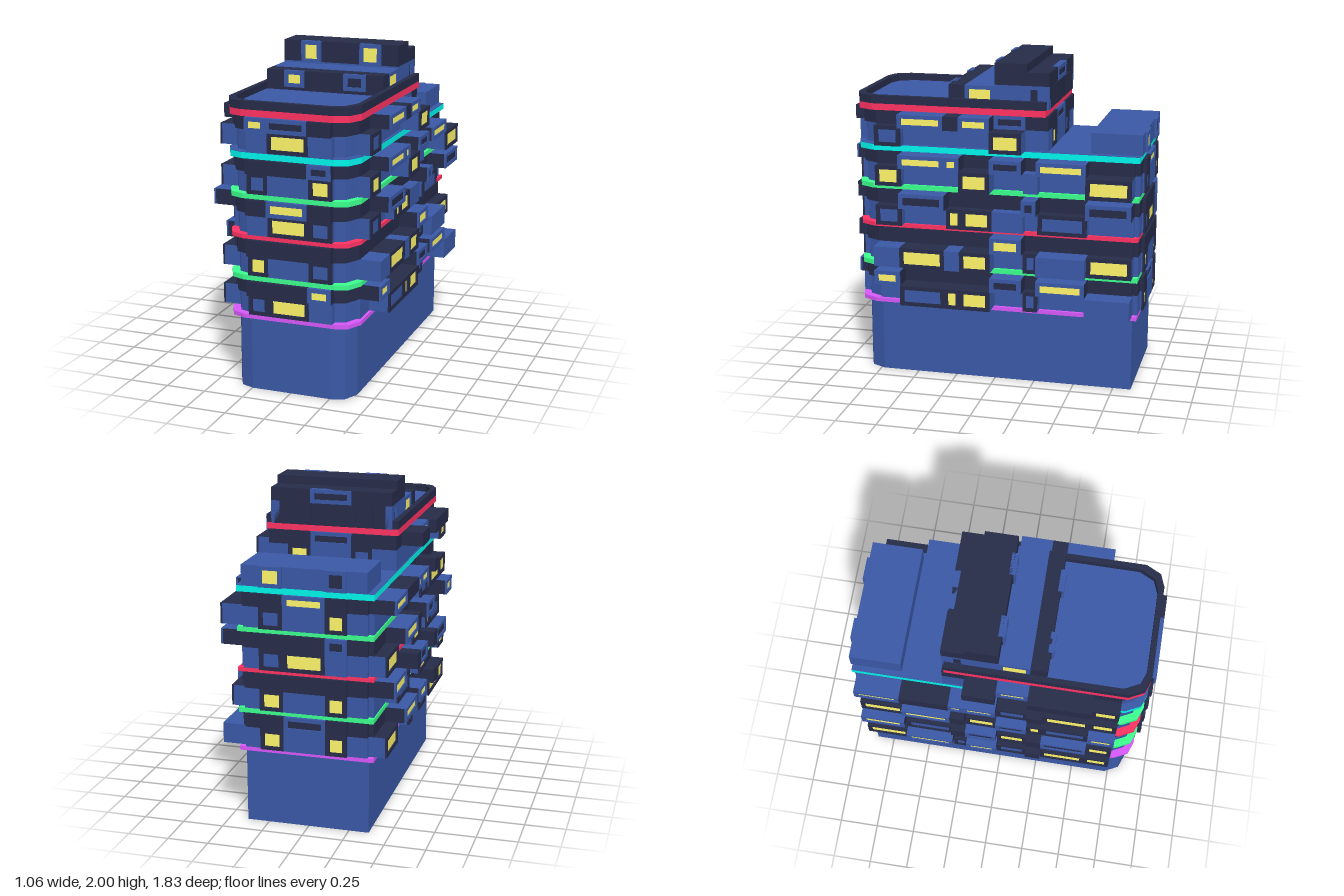
import * as THREE from 'three';

const mat = (color) => new THREE.MeshStandardMaterial({ color, flatShading: true });
const blue = mat(0x3a58a6), dark = mat(0x262b48), lit = mat(0xfff56a);
const red = mat(0xff3262), green = mat(0x3bff8e), cyan = mat(0x00f5ec), purple = mat(0xd858fa);
const CX = 0.006;

// Plan outline: square back, faceted front corners
function outline(grow, back) {
  const w = 0.378 + grow, f = 0.85 + grow;
  const half = [[w, f - 0.12], [w - 0.045, f - 0.03], [w - 0.125, f]];
  const pts = [[w, back], ...half, ...half.map(([x, z]) => [-x, z]).reverse(), [-w, back]];
  return pts.map(([x, z]) => new THREE.Vector2(x + CX, -z));
}

function slab(parent, name, material, grow, back, y0, y1, hole) {
  const shape = new THREE.Shape(outline(grow, back));
  if (hole) shape.holes.push(new THREE.Path(hole));
  const geo = new THREE.ExtrudeGeometry(shape, { depth: y1 - y0, bevelEnabled: false });
  const mesh = new THREE.Mesh(geo.rotateX(-Math.PI / 2).translate(0, y0, 0), material);
  mesh.name = name;
  parent.add(mesh);
}

function box(parent, name, material, x0, x1, y0, y1, z0, z1) {
  const mesh = new THREE.Mesh(new THREE.BoxGeometry(x1 - x0, y1 - y0, z1 - z0), material);
  mesh.position.set((x0 + x1) / 2, (y0 + y1) / 2, (z0 + z1) / 2);
  mesh.name = name;
  parent.add(mesh);
}

function rect(Type, x0, x1, y0, y1) {
  return new Type([[x0, y0], [x1, y0], [x1, y1], [x0, y1]].map(([x, y]) => new THREE.Vector2(x, y)));
}

// Projecting box whose outer face (local +z) has an inset window; its cheeks may differ in colour
function windowBox(parent, frame, cheek, pane, x0, x1, y0, y1, z0, z1) {
  const m = Math.min(0.026, (x1 - x0) * 0.24), n = 0.023, inset = 0.012;
  box(parent, 'windowBoxBody', [cheek, cheek, frame, cheek, frame, frame], x0, x1, y0, y1, z0, z1 - inset);
  const shape = rect(THREE.Shape, x0, x1, y0, y1);
  shape.holes.push(rect(THREE.Path, x0 + m, x1 - m, y0 + n, y1 - n));
  const rim = new THREE.Mesh(new THREE.ExtrudeGeometry(shape, { depth: inset, bevelEnabled: false }), frame);
  rim.position.z = z1 - inset;
  rim.name = 'windowFrame';
  parent.add(rim);
  box(parent, 'windowPane', pane, x0 + m, x1 - m, y0 + n, y1 - n, z1 - inset - 0.01, z1 - inset + 0.004);
}

// One row of cells: y = lit window, o = unlit window, . = plain
function row(parent, cells, pattern, upper, y0, y1, inner, depthOf) {
  const base = upper ? dark : blue, frame = upper ? blue : dark;
  [...pattern].forEach((c, i) => {
    const [a, b] = cells[i], d = depthOf(i);
    if (c === '.') box(parent, 'plainBay', base, a, b, y0, y1, inner, d);
    else windowBox(parent, frame, base, c === 'y' ? lit : base, a, b, y0, y1, inner, d);
  });
}

const spans = (edges) => edges.slice(1).map((e, i) => [edges[i], e]);
const LEVELS = [0.485, 0.73, 0.98, 1.23, 1.48];
const TOPS = [0.7, 0.955, 1.2, 1.44, 1.69];

// Cell edges along each face, and window patterns as [lower, upper] per storey
const sideEdges = [-0.735, -0.57, -0.285, -0.19, 0, 0.195, 0.285, 0.585, 0.86];
const faceEdges = [-0.25, -0.12, 0.135, 0.28];
const backEdges = [-0.38, -0.28, -0.135, 0.12, 0.25, 0.37];
const leftRows = [
  ['.oyy.o..', 'y...o.y.'], ['.y.y.o.y', '....y...'], ['o.yy..o.', '.o...o.o'],
  ['y..y...y', '.yy.o.y.'], ['o...y.', '.y.yo.']];
const rightRows = [
  ['yy.o.o.y', '....y.y.'], ['y..y..o.', '.o..o..y'], ['.oy.y..y', 'y..o..y.'],
  ['yy.o....', '....yy.y'], ['y.....', '...y..']];
const frontRows = [['oy.', '..y'], ['y.o', '...'], ['.yo', '.y.'], ['o.y', '..o'], ['.y.', 'yo.']];
const backRows = [
  ['.y.y.', '..o..'], ['.y.y.', '.....'], ['.oy..', '...o.'], ['.o.y.', '..y..']];

// Side bays: windowed cells stand out, the plain one above or below steps back
const STEP = 0.4;
function leftDepth(s, i, upper) {
  const [lo, up] = leftRows[s].map((r) => r[i]);
  const plain = lo === '.' && up === '.';
  if (s === 4 && i === 5) return STEP;
  if (upper) {
    if (up === '.') return plain && s === 4 ? 0.53 : STEP;
    return s === 4 && i === 4 ? 0.41 : 0.53;
  }
  if (lo === '.' && !(plain && s < 4)) return STEP;
  return s === 2 || (s > 2 && i === 0) || (s === 1 && i === 7) || i === 5 ? 0.47 : 0.53;
}
function rightDepth(s, i, upper) {
  const [lo, up] = rightRows[s].map((r) => r[i]);
  if (s === 4 && i === 5) return STEP;
  if (!upper) return lo === '.' ? STEP : 0.48;
  if (up === '.') return lo === '.' ? 0.53 : STEP;
  return s === 4 ? 0.48 : 0.53;
}

export function createModel() {
  const model = new THREE.Group();
  model.name = 'apartmentBuilding';

  // Plinth and coloured floor bands
  slab(model, 'plinth', blue, 0, -0.86, 0, 0.46);
  const bands = [[purple, 0.46, 0.485], [green, 0.7, 0.73], [red, 0.955, 0.98],
    [green, 1.2, 1.23], [cyan, 1.44, 1.477], [red, 1.69, 1.73]];
  bands.forEach(([m, a, b], i) => slab(model, 'floorBand', m, 0.034, i === 5 ? -0.32 : -0.89, a, b));
  slab(model, 'terraceDeck', blue, 0.034, -0.89, 1.477, 1.48);

  // Faces are groups whose local +z points outward
  const face = (name, angle) => {
    const g = new THREE.Group();
    g.name = name;
    g.rotation.y = angle;
    model.add(g);
    return g;
  };
  const front = face('frontBays', 0), back = face('backBays', Math.PI);
  const left = face('leftBays', Math.PI / 2), right = face('rightBays', -Math.PI / 2);

  LEVELS.forEach((y0, s) => {
    const ym = y0 + 0.125, y1 = TOPS[s], end = s === 4 ? -0.31 : -0.86;
    slab(model, 'storeyWall', blue, 0, end, y0, ym);
    slab(model, 'storeyParapet', dark, 0.012, end, ym, y1);

    const edges = s === 4 ? [...sideEdges.slice(0, 6), 0.335] : sideEdges;
    const leftCells = spans(edges), rightCells = leftCells.map(([a, b]) => [-b, -a]);
    [false, true].forEach((upper) => {
      const k = upper ? 1 : 0, a = upper ? ym : y0, b = upper ? y1 : ym;
      row(left, leftCells, leftRows[s][k], upper, a, b, 0.36, (i) => leftDepth(s, i, upper));
      row(right, rightCells, rightRows[s][k], upper, a, b, 0.35, (i) => rightDepth(s, i, upper));
      row(front, spans(faceEdges), frontRows[s][k], upper, a, b, 0.8, () => upper ? 0.912 : 0.885);
      if (s < 4) row(back, spans(backEdges), backRows[s][k], upper, a, b, 0.84, (i) => i % 4 ? 0.912 : 0.89);
    });
  });

  // Rear terrace block on the lower roof
  box(model, 'terraceBlock', blue, -0.37, 0.384, 1.48, 1.605, -0.9, -0.59);
  windowBox(back, blue, blue, lit, -0.28, -0.135, 1.48, 1.605, 0.88, 0.915);
  windowBox(back, blue, blue, dark, 0.12, 0.25, 1.48, 1.605, 0.88, 0.915);
  // Rear wall of the top storey
  row(back, spans(backEdges), '.y.o.', false, 1.48, 1.605, 0.28, () => 0.335);
  row(back, spans(backEdges), '..o..', true, 1.605, 1.69, 0.28, () => 0.335);

  // Roof parapet around a sunken roof
  slab(model, 'roofParapet', dark, 0.034, -0.32, 1.73, 1.78, outline(0, -0.28).reverse());
  slab(model, 'roofDeck', blue, 0.005, -0.3, 1.73, 1.738);

  // Stepped penthouse
  const x0 = -0.37, x1 = 0.384, inset = 0.02;
  box(model, 'penthouseFront', dark, x0, x1, 1.73, 1.86, 0.185, 0.285);
  box(model, 'penthouseMiddle', blue, x0 + inset, x1 - inset, 1.73, 1.86, 0, 0.185);
  box(model, 'penthouseRear', blue, x0, x1, 1.73, 1.87, -0.2, 0);
  box(model, 'penthouseRearEnd', dark, x0 + inset, x1 - inset, 1.73, 1.87, -0.335, -0.2);
  box(model, 'penthouseCrown', dark, x0, x1, 1.87, 2, -0.2, 0);
  box(model, 'penthouseRearCrown', dark, x0, x1, 1.87, 1.95, -0.335, -0.2);

  // Penthouse windows
  [[-0.25, -0.12, lit], [0.135, 0.275, dark]].forEach(([a, b, pane]) => {
    windowBox(front, blue, dark, pane, a, b, 1.76, 1.86, 0.27, 0.303);
    windowBox(front, blue, dark, lit, a, b, 1.866, 2, -0.02, 0.018);
  });
  [[left, 1, x1], [right, -1, -x0]].forEach(([g, f, d]) => {
    const add = (pane, z0, z1, top) => {
      const [a, b] = [-z0 * f, -z1 * f].sort((p, q) => p - q);
      windowBox(g, blue, blue, pane, a, b, 1.732, top, 0.33, d);
    };
    add(lit, 0, 0.185, 1.86);
    add(dark, -0.285, -0.2, 1.87);
    const [a, b] = [0.285 * f, 0.335 * f].sort((p, q) => p - q);
    box(g, 'penthouseCorner', blue, a, b, 1.73, 1.87, 0.33, d);
  });
  windowBox(back, blue, dark, lit, -0.135, 0.12, 1.865, 1.95, 0.3, 0.34);
  windowBox(back, dark, dark, lit, 0.12, 0.25, 1.735, 1.86, 0.3, 0.34);
  windowBox(back, dark, dark, blue, -0.28, -0.135, 1.735, 1.86, 0.3, 0.34);
  return model;
}
